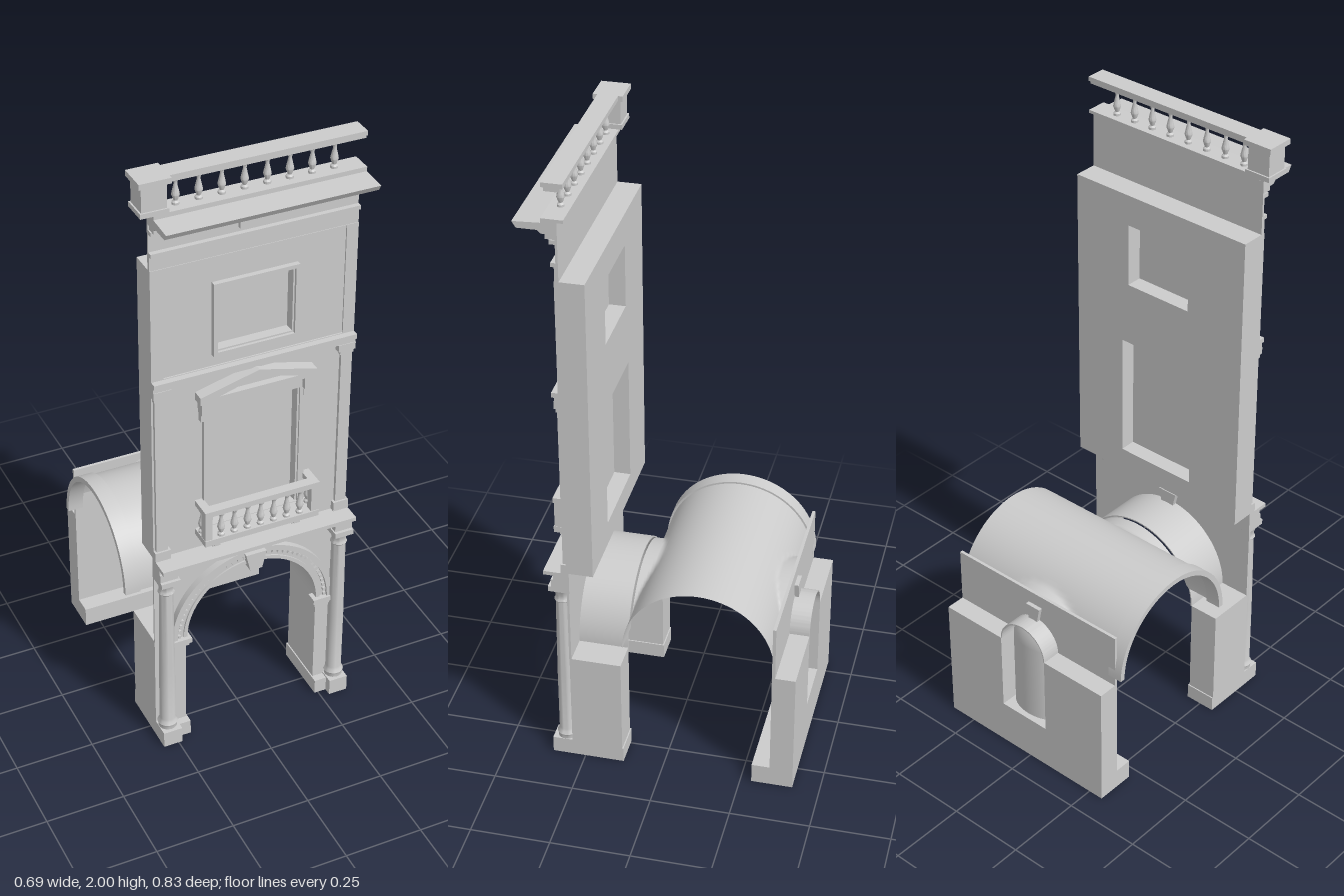
import * as THREE from 'three';
import { toCreasedNormals } from 'three/addons/utils/BufferGeometryUtils.js';

const L = -0.3, R = 0.34, CX = 0.022; // bay edges and centre line

export function createModel() {
  const root = new THREE.Group();
  const mat = new THREE.MeshStandardMaterial({ color: 0xcccccc, side: THREE.DoubleSide });

  function add(name, geo, x = 0, y = 0, z = 0) {
    const m = new THREE.Mesh(geo, mat);
    m.name = name;
    m.position.set(x, y, z);
    root.add(m);
    return m;
  }
  const box = (name, x0, x1, y0, y1, z0, z1) =>
    add(name, new THREE.BoxGeometry(x1 - x0, y1 - y0, z1 - z0), (x0 + x1) / 2, (y0 + y1) / 2, (z0 + z1) / 2);
  const poly = pts => pts.map(p => new THREE.Vector2(...p));
  const rect = (x0, x1, y0, y1) => poly([[x0, y0], [x1, y0], [x1, y1], [x0, y1]]);
  // outline of a round-headed opening
  function arched(r, y0, spring, n = 32) {
    const pts = [[CX - r, y0], [CX + r, y0]];
    for (let i = 0; i <= n; i++) {
      const a = Math.PI * i / n;
      pts.push([CX + r * Math.cos(a), spring + r * Math.sin(a)]);
    }
    return poly(pts);
  }
  function slab(name, outline, holes, z0, z1) {
    const s = new THREE.Shape(outline);
    holes.forEach(h => s.holes.push(new THREE.Path(h)));
    const g = new THREE.ExtrudeGeometry(s, { depth: z1 - z0, bevelEnabled: false });
    return add(name, toCreasedNormals(g, 0.5), 0, 0, z0);
  }
  // half ring in the xy plane
  function halfRing(name, r0, r1, spring, z0, z1) {
    const s = new THREE.Shape();
    s.absarc(CX, spring, r1, 0, Math.PI, false);
    s.absarc(CX, spring, r0, Math.PI, 0, true);
    const g = new THREE.ExtrudeGeometry(s, { depth: z1 - z0, bevelEnabled: false, curveSegments: 32 });
    return add(name, toCreasedNormals(g, 0.5), 0, 0, z0);
  }
  const lathe = (pts, n) => toCreasedNormals(new THREE.LatheGeometry(poly(pts), n), 0.7);
  const balusterGeo = h => lathe([[0, 0], [0.011, 0], [0.011, 0.08], [0.006, 0.14], [0.012, 0.34], [0.010, 0.46],
    [0.005, 0.72], [0.006, 0.84], [0.010, 0.9], [0.010, 1], [0, 1]].map(([r, y]) => [r, y * h]), 12);
  const frame = (name, o, i, z0, z1) => slab(name, rect(...o), [rect(...i)], z0, z1);

  // ---- ground storey: piers, arch and half columns
  const column = lathe([[0.029, 0.05], [0.029, 0.065], [0.032, 0.072], [0.027, 0.082], [0.025, 0.09], [0.025, 0.3],
    [0.022, 0.585], [0.026, 0.59], [0.022, 0.597], [0.022, 0.61], [0.03, 0.63]], 24);
  for (const s of [-1, 1]) {
    const px = (a, b) => s < 0 ? [L + a, L + b] : [R - b, R - a];
    box('pier', ...px(0, 0.098), 0, 0.38, 0.13, 0.292);
    box('pierPlinth', ...px(0, 0.102), 0, 0.05, 0.126, 0.33);
    box('columnPlinth', ...px(0, 0.062), 0, 0.055, 0.29, 0.355);
    add('column', column, s < 0 ? L + 0.03 : R - 0.03, 0, 0.315);
    box('columnAbacus', ...px(0, 0.062), 0.63, 0.648, 0.285, 0.352);
    box('columnEntablature', ...px(0, 0.058), 0.648, 0.675, 0.285, 0.342);
    box('archPilaster', ...px(0.054, 0.098), 0.05, 0.35, 0.285, 0.305);
    box('impost', ...px(0.05, 0.106), 0.35, 0.363, 0.285, 0.315);
    box('impostCap', ...px(0.05, 0.112), 0.363, 0.38, 0.285, 0.322);
  }
  const spandrel = [[L, 0.38], [CX - 0.222, 0.38]];
  for (let i = 32; i >= 0; i--) {
    const a = Math.PI * i / 32;
    spandrel.push([CX + 0.222 * Math.cos(a), 0.378 + 0.222 * Math.sin(a)]);
  }
  spandrel.push([R, 0.38], [R, 0.705], [L, 0.705]);
  slab('spandrelWall', poly(spandrel), [], 0.286, 0.293);
  halfRing('archSoffit', 0.22, 0.224, 0.378, 0.13, 0.292);
  halfRing('archivolt', 0.222, 0.262, 0.378, 0.29, 0.304);
  halfRing('archivoltRim', 0.255, 0.273, 0.378, 0.29, 0.315);
  halfRing('archivoltInnerRoll', 0.22, 0.232, 0.378, 0.29, 0.309);
  for (let i = 0; i < 40; i++) {
    const a = Math.PI * (i + 0.5) / 40;
    const m = add('archBead', new THREE.BoxGeometry(0.009, 0.01, 0.012),
      CX + 0.248 * Math.cos(a), 0.378 + 0.248 * Math.sin(a), 0.306);
    m.rotation.z = a;
  }
  slab('archKeystone', poly([[CX - 0.02, 0.585], [CX + 0.02, 0.585], [CX + 0.034, 0.645], [CX - 0.034, 0.645]]), [], 0.27, 0.33);
  box('lowerArchitrave', L, R, 0.648, 0.66, 0.285, 0.312);
  box('lowerFrieze', L, R, 0.66, 0.675, 0.285, 0.306);
  box('lowerCornice', L, R, 0.675, 0.69, 0.285, 0.335);
  box('lowerCorniceTop', L, R, 0.69, 0.703, 0.285, 0.365);

  // ---- barrel vault, raised into lunettes at both sides
  const vault = (name, x0, x1, rad, nx, lunette) => {
    const g = new THREE.PlaneGeometry(1, 1, nx, 48), p = g.attributes.position;
    for (let i = 0; i < p.count; i++) {
      const x = x0 + (x1 - x0) * (p.getX(i) + 0.5), a = Math.PI * (p.getY(i) + 0.5);
      const d = 0.22 ** 2 - (x - CX) ** 2;
      const lift = lunette && d > 0 ? 0.378 + Math.sqrt(d) : 0;
      p.setXYZ(i, x, Math.max(0.45 + rad * Math.sin(a), lift), -0.112 + rad * Math.cos(a));
    }
    g.computeVertexNormals();
    return add(name, g);
  };
  vault('vault', -0.28, R, 0.236, 64, true);
  const rib = new THREE.Shape();
  rib.absarc(0, 0, 0.242, 0, Math.PI, false);
  rib.absarc(0, 0, 0.225, Math.PI, 0, true);
  const ribGeo = new THREE.ExtrudeGeometry(rib, { depth: 0.05, bevelEnabled: false, curveSegments: 24 });
  add('vaultRib', toCreasedNormals(ribGeo, 0.5), -0.325, 0.45, -0.112).rotation.y = Math.PI / 2;

  // ---- rear wall with round-headed niche
  slab('rearWall', poly([[L, 0], [R, 0], [R, 0.42], [CX + 0.09, 0.42], [CX + 0.09, 0.15], [CX - 0.09, 0.15],
    [CX - 0.09, 0.42], [L, 0.42]]), [], -0.415, -0.35);
  slab('rearLunetteWall', rect(L, R, 0, 0.602), [arched(0.088, 0.15, 0.42)], -0.352, -0.342);
  halfRing('nicheVault', 0.087, 0.091, 0.42, -0.415, -0.345);
  const niche = add('nicheBack', new THREE.CylinderGeometry(0.088, 0.088, 0.27, 24, 1, true, Math.PI / 2, Math.PI), CX, 0.285, -0.348);
  niche.scale.z = 0.55;
  const dome = add('nicheDome', new THREE.SphereGeometry(0.088, 24, 10, 0, Math.PI, 0, Math.PI / 2), CX, 0.42, -0.348);
  dome.scale.z = -0.55;
  slab('nicheSurround', arched(0.122, 0.15, 0.42), [arched(0.098, 0.152, 0.42)], -0.345, -0.33);
  slab('nicheInnerFrame', arched(0.1, 0.15, 0.42), [arched(0.088, 0.152, 0.42)], -0.345, -0.336);
  box('nicheSill', CX - 0.125, CX + 0.125, 0.14, 0.155, -0.345, -0.322);
  slab('nicheKeystone', poly([[CX - 0.016, 0.505], [CX + 0.016, 0.505], [CX + 0.027, 0.56], [CX - 0.027, 0.56]]), [], -0.365, -0.318);
  for (const s of [-1, 1]) {
    const c = CX + s * 0.165;
    box('stringCourse', c - 0.043, c + 0.043, 0.455, 0.48, -0.345, -0.332);
  }
  box('bench', L, R, 0, 0.066, -0.345, -0.285);

  // ---- upper wall with two window openings
  const W1 = [-0.115, 0.16, 0.78, 1.19], W2 = [-0.095, 0.137, 1.395, 1.6];
  slab('upperWall', rect(L, R, 0.705, 1.7), [rect(...W1), rect(...W2)], 0.21, 0.293);
  box('mainWindowPane', W1[0], W1[1], W1[2], W1[3], 0.262, 0.268);
  box('atticWindowPane', W2[0], W2[1], W2[2], W2[3], 0.262, 0.268);
  box('topWall', L, R, 1.7, 1.89, 0.284, 0.291);

  // ---- main storey: pilasters, window frame, pediment
  for (const s of [-1, 1]) {
    const px = (a, b) => s < 0 ? [L + a, L + b] : [R - b, R - a];
    box('pilaster', ...px(0.006, 0.042), 0.735, 1.275, 0.29, 0.304);
    box('pilasterBase', ...px(0, 0.05), 0.703, 0.735, 0.29, 0.31);
    box('pilasterNeck', ...px(0.003, 0.047), 1.272, 1.285, 0.29, 0.307);
    box('pilasterCapital', ...px(0, 0.055), 1.285, 1.308, 0.29, 0.312);
    const c = CX + s * 0.164;
    box('pedimentBracket', c - 0.013, c + 0.013, 1.195, 1.24, 0.29, 0.322);
    box('bracketScroll', c - 0.01, c + 0.01, 1.165, 1.195, 0.29, 0.308);
  }
  frame('mainWindowFrame', [-0.142, 0.186, 0.78, 1.212], [-0.122, 0.166, 0.77, 1.195].map((v, i) => i === 2 ? 0.782 : v), 0.29, 0.306);
  frame('mainWindowInnerFrame', [-0.128, 0.172, 0.78, 1.2], [W1[0], W1[1], 0.782, W1[3]], 0.29, 0.3);
  box('windowLintel', CX - 0.15, CX + 0.15, 1.212, 1.238, 0.29, 0.306);
  box('pedimentCornice', CX - 0.185, CX + 0.185, 1.238, 1.254, 0.29, 0.328);
  slab('pedimentRake', poly([[CX - 0.185, 1.254], [CX - 0.13, 1.254], [CX, 1.292], [CX + 0.13, 1.254], [CX + 0.185, 1.254],
    [CX + 0.185, 1.264], [CX, 1.312], [CX - 0.185, 1.264]]), [], 0.29, 0.33);
  slab('tympanum', poly([[CX - 0.14, 1.25], [CX + 0.14, 1.25], [CX, 1.296]]), [], 0.29, 0.306);
  box('middleCornice', L, R, 1.308, 1.322, 0.29, 0.31);
  box('middleCorniceTop', L, R, 1.322, 1.338, 0.29, 0.318);

  // ---- balcony
  box('balconySlab', CX - 0.187, CX + 0.187, 0.756, 0.776, 0.29, 0.367);
  box('balconySlabMoulding', CX - 0.175, CX + 0.175, 0.743, 0.756, 0.29, 0.352);
  box('balconyRail', CX - 0.187, CX + 0.187, 0.862, 0.88, 0.336, 0.367);
  const small = balusterGeo(0.086);
  for (const s of [-1, 1]) {
    const c = CX + s * 0.174;
    box('balconyPost', c - 0.012, c + 0.012, 0.776, 0.862, 0.339, 0.364);
    box('balconySideRail', c - 0.013, c + 0.013, 0.862, 0.88, 0.29, 0.34);
    add('balconySideBaluster', small, c, 0.776, 0.316);
    const b = CX + s * 0.132;
    box('balconyBracket', b - 0.01, b + 0.01, 0.722, 0.744, 0.29, 0.335);
    box('balconyBracketFoot', b - 0.008, b + 0.008, 0.706, 0.722, 0.29, 0.315);
  }
  for (let i = -3; i <= 3; i++) add('balconyBaluster', small, CX + i * 0.043, 0.776, 0.352);

  // ---- attic storey: raised border and window frame
  frame('atticBorder', [L, R, 1.338, 1.7], [L + 0.037, R - 0.037, 1.34, 1.699], 0.29, 0.298);
  frame('atticWindowFrame', [-0.112, 0.154, 1.378, 1.617], [-0.1, 0.142, 1.39, 1.605], 0.29, 0.309);
  frame('atticWindowInnerFrame', [-0.104, 0.146, 1.386, 1.609], W2, 0.29, 0.3);

  // ---- entablature and main cornice
  box('architraveBand', L, R, 1.7, 1.745, 0.288, 0.296);
  box('architraveMoulding', L, R, 1.745, 1.758, 0.288, 0.306);
  box('friezePlaque', CX - 0.053, CX + 0.053, 1.772, 1.808, 0.288, 0.304);
  box('friezePlaqueCap', CX - 0.057, CX + 0.057, 1.802, 1.811, 0.288, 0.308);
  box('dentilBed', L, R, 1.815, 1.828, 0.288, 0.308);
  for (let i = 0; i < 32; i++) {
    const x = L + 0.01 + i * 0.02;
    box('dentil', x - 0.006, x + 0.006, 1.828, 1.847, 0.288, 0.32);
  }
  slab('mainCornice', poly([[0.288, 1.845], [0.33, 1.845], [0.34, 1.855], [0.4, 1.855], [0.412, 1.874], [0.33, 1.878],
    [0.33, 1.892], [0.265, 1.892], [0.265, 1.882], [0.288, 1.882]].map(([z, y]) => [-z, y])), [], 0, R - L)
    .rotation.y = Math.PI / 2;
  root.children.at(-1).position.set(L, 0, 0);

  // ---- roof balustrade
  const tall = balusterGeo(0.085);
  for (let i = 0; i < 8; i++) add('roofBaluster', tall, -0.22 + i * 0.068, 1.892, 0.295);
  box('roofRail', -0.27, R, 1.975, 1.988, 0.272, 0.318);
  box('roofRailTop', -0.27, R, 1.986, 2, 0.264, 0.326);
  box('cornerPedestal', -0.335, -0.26, 1.905, 1.985, 0.26, 0.33);
  box('cornerPedestalBase', -0.34, -0.255, 1.892, 1.907, 0.255, 0.335);
  box('cornerPedestalCap', -0.345, -0.25, 1.983, 2, 0.25, 0.34);

  return root;
}
